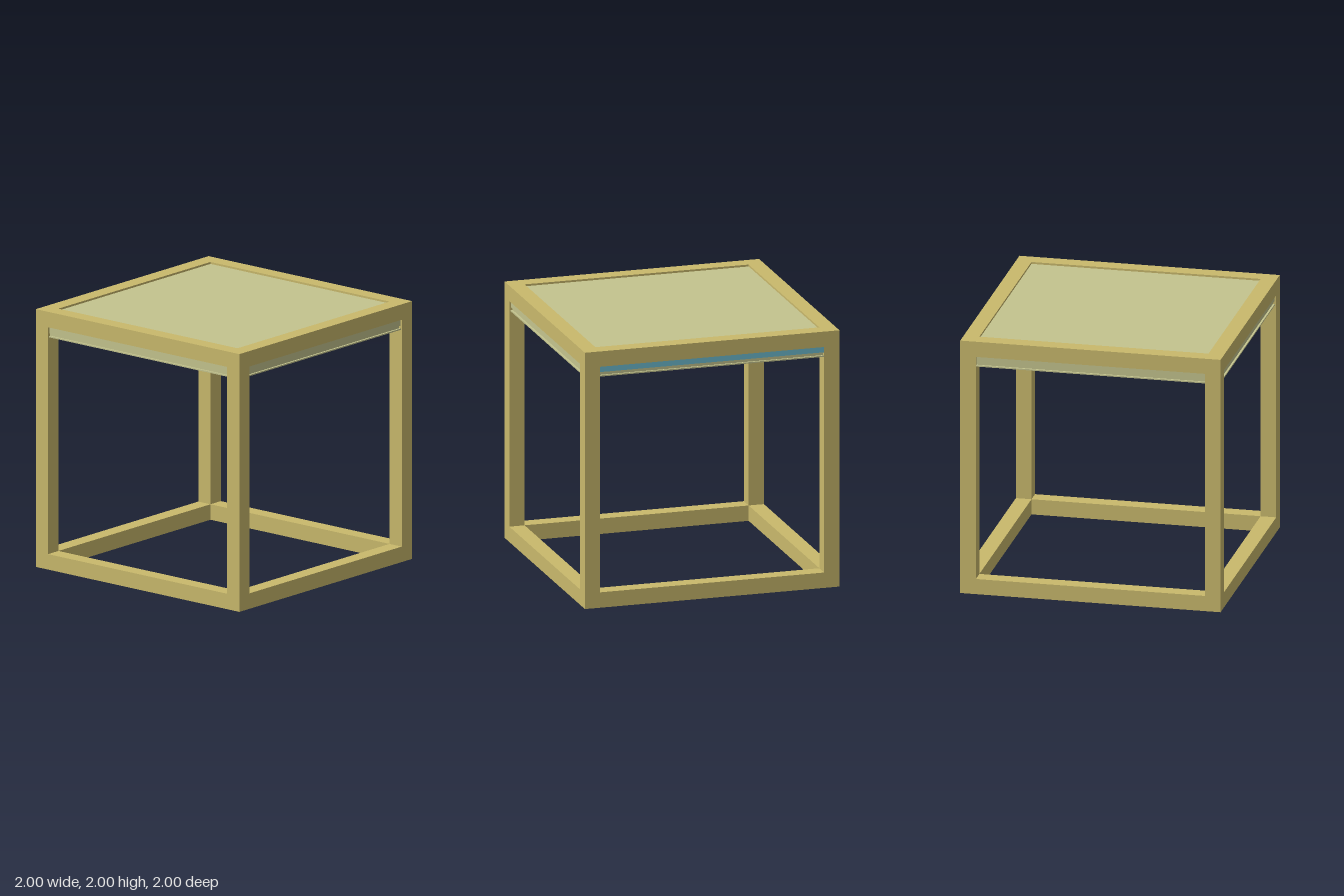
import * as THREE from 'three';

export function createModel() {
  const model = new THREE.Group();
  const mat = (name, color) => {
    const m = new THREE.MeshStandardMaterial({ color });
    m.name = name;
    return m;
  };
  const wood = mat('wood', 0xc9b96c);
  const pale = mat('paleGreen', 0xc4c48e);
  const blue = mat('blue', 0x6dbccf);

  const T = 0.12; // beam thickness
  const IN = 1 - T; // inner edge of the frame
  const C = 1 - T / 2; // beam centre line

  const box = (name, material, w, h, d, x, y, z, parent = model) => {
    const mesh = new THREE.Mesh(new THREE.BoxGeometry(w, h, d), material);
    mesh.name = name;
    mesh.position.set(x, y, z);
    parent.add(mesh);
  };

  // Square frame rings at the top and bottom
  const ring = (name, y) => {
    const shape = new THREE.Shape([[-1, -1], [1, -1], [1, 1], [-1, 1]].map(p => new THREE.Vector2(...p)));
    shape.holes.push(new THREE.Path([[-IN, -IN], [-IN, IN], [IN, IN], [IN, -IN]].map(p => new THREE.Vector2(...p))));
    const g = new THREE.ExtrudeGeometry(shape, { depth: T, bevelEnabled: false });
    g.rotateX(-Math.PI / 2);
    const mesh = new THREE.Mesh(g, wood);
    mesh.name = name;
    mesh.position.y = y;
    model.add(mesh);
  };
  ring('bottomFrame', 0);
  ring('topFrame', 2 - T);

  // Corner legs
  const legs = new THREE.Group();
  legs.name = 'legs';
  model.add(legs);
  for (const x of [-C, C])
    for (const z of [-C, C])
      box('leg', wood, T, 2 - 2 * T, T, x, 1, z, legs);

  // Slightly sunken top surface
  box('topPanel', pale, 2 * IN, 0.105, 2 * IN, 0, 1.9325, 0);

  // Layers under the top, notched around the legs
  const layer = (name, y0, y1, reach) => {
    const pts = [];
    for (const [sx, sy] of [[1, 1], [-1, 1], [-1, -1], [1, -1]]) {
      const corner = [[reach * sx, IN * sy], [IN * sx, IN * sy], [IN * sx, reach * sy]];
      if (sx * sy < 0) corner.reverse();
      pts.push(...corner.map(p => new THREE.Vector2(...p)));
    }
    const g = new THREE.ExtrudeGeometry(new THREE.Shape(pts), { depth: y1 - y0, bevelEnabled: false });
    g.rotateX(-Math.PI / 2);
    const mesh = new THREE.Mesh(g, pale);
    mesh.name = name;
    mesh.position.y = y0;
    model.add(mesh);
  };
  layer('upperLayer', 1.83, 1.88, 0.985);
  layer('middleLayer', 1.81, 1.83, 0.975);
  layer('lowerLayer', 1.8, 1.81, 0.99);

  // Blue strip on one side
  box('blueStrip', blue, 0.006, 0.044, 2 * IN, 0.988, 1.858, 0);

  return model;
}
